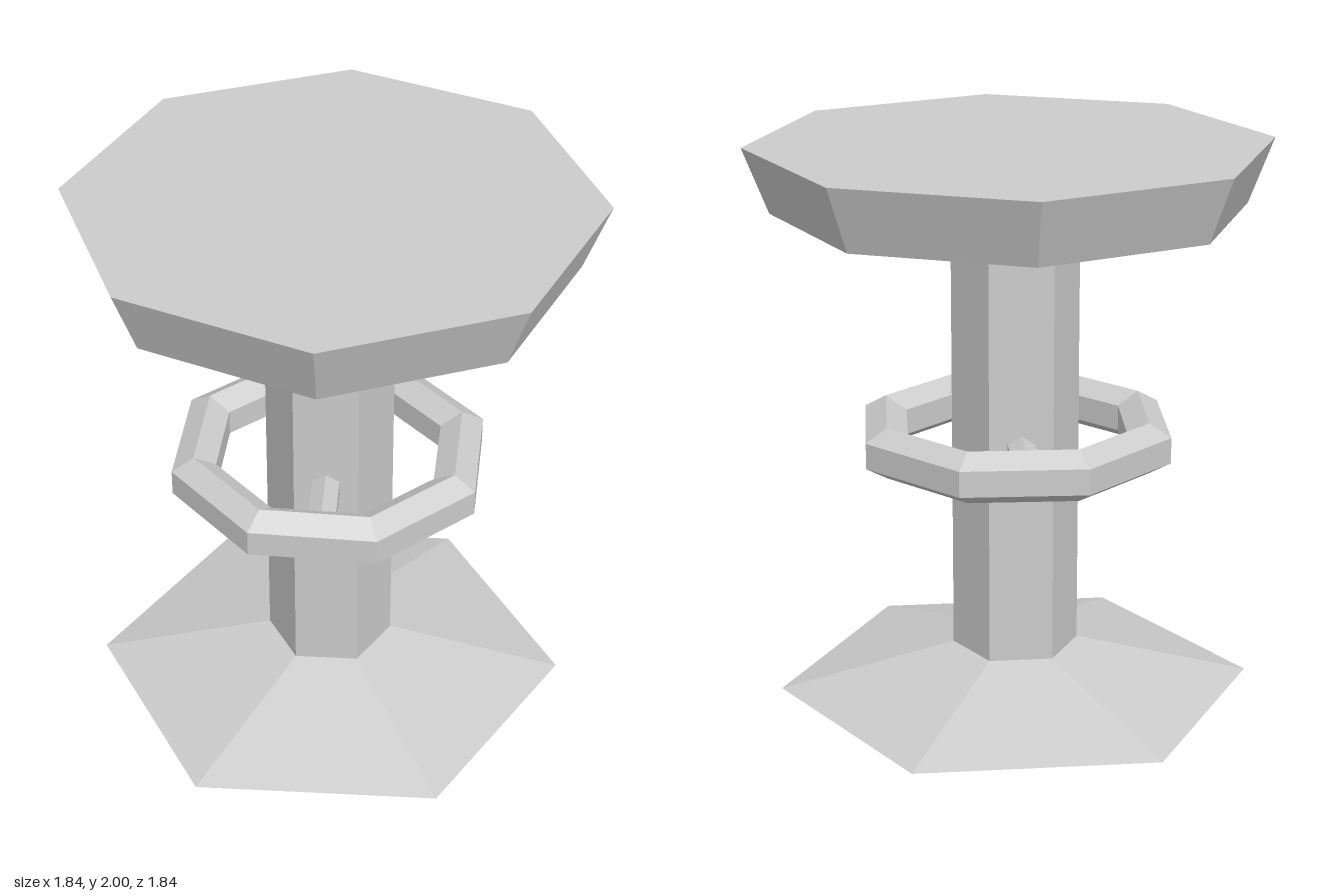
import * as THREE from 'three';

const material = new THREE.MeshStandardMaterial({ color: 0xcccccc, flatShading: true });
const OFFSET = -0.016; // post, base and ring sit slightly off the seat's centre
const rad = THREE.MathUtils.degToRad;

function part(parent, name, geometry, x, y, z, turn = 0) {
  const mesh = new THREE.Mesh(geometry, material);
  mesh.name = name;
  mesh.position.set(x, y, z);
  mesh.rotation.y = rad(turn);
  parent.add(mesh);
  return mesh;
}

// Straight or tapered prism standing between two heights
function prism(parent, name, rTop, rBottom, y0, y1, sides, x, turn) {
  const geometry = new THREE.CylinderGeometry(rTop, rBottom, y1 - y0, sides);
  return part(parent, name, geometry, x, (y0 + y1) / 2, 0, turn);
}

export function createModel() {
  const stool = new THREE.Group();
  stool.name = 'stool';

  // Octagonal seat, hexagonal post and flared hexagonal foot
  prism(stool, 'seat', 0.92, 0.83, 1.77, 2, 8, 0, 0);
  prism(stool, 'post', 0.226, 0.226, 0.15, 1.78, 6, OFFSET, 30);
  prism(stool, 'base', 0.226, 0.855, 0, 0.16, 6, OFFSET, 30);

  // Footrest ring: hexagonal tube swept round eight sides
  const section = [];
  for (let i = 0; i <= 6; i++) {
    const a = rad(-30 + i * 60);
    section.push(new THREE.Vector2(0.495 + 0.0925 * Math.cos(a), 0.0925 * Math.sin(a)));
  }
  part(stool, 'footrestRing', new THREE.LatheGeometry(section, 8), OFFSET, 0.947, 0.006, 20);

  // Front and back spokes joining the ring to the post
  for (const side of [1, -1]) {
    const geometry = new THREE.CylinderGeometry(0.055, 0.055, 0.32, 6).rotateX(Math.PI / 2);
    part(stool, side > 0 ? 'frontSpoke' : 'backSpoke', geometry, OFFSET, 0.947, side * 0.32);
  }
  return stool;
}
